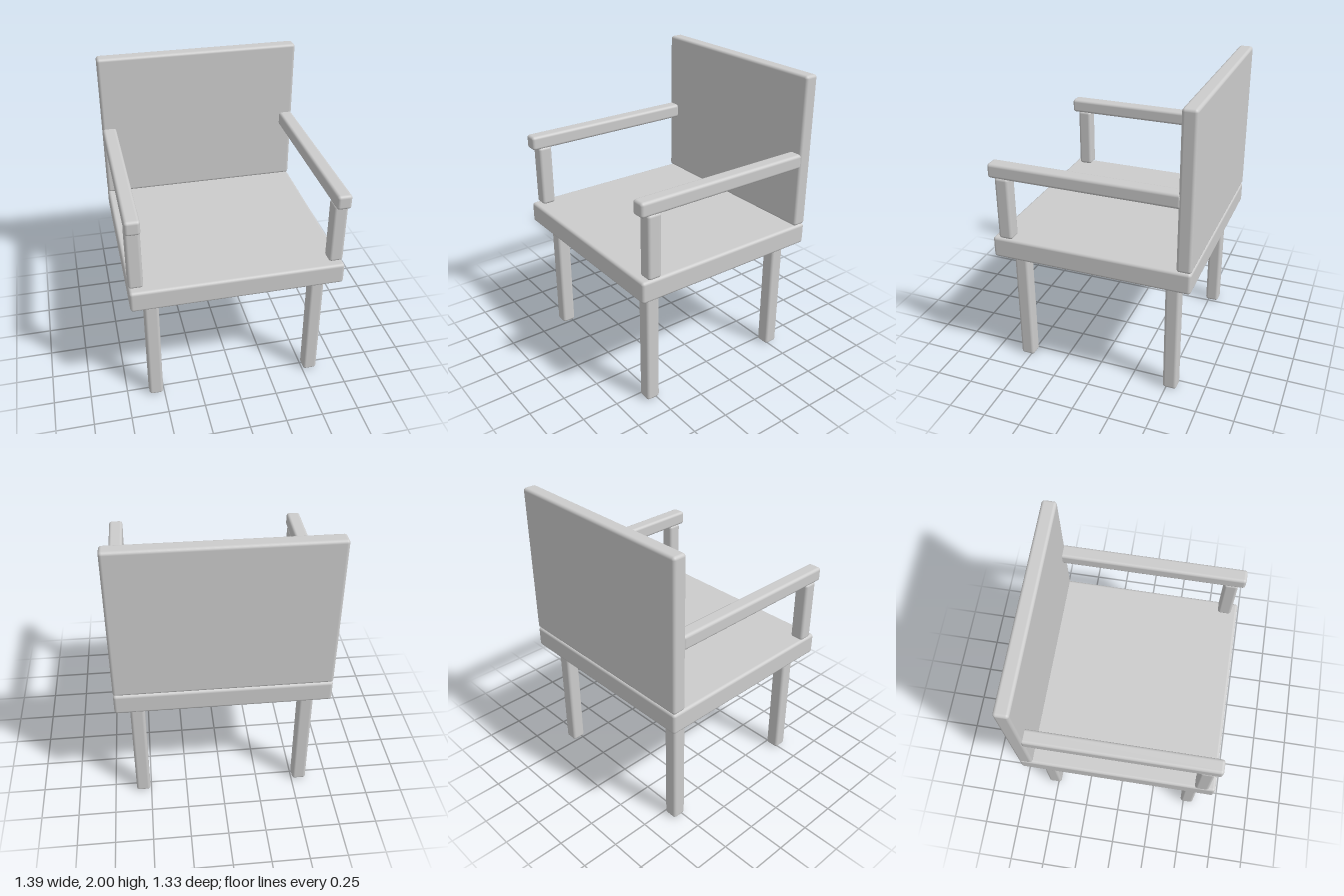
import * as THREE from 'three';
import { RoundedBoxGeometry } from 'three/addons/geometries/RoundedBoxGeometry.js';

export function createModel() {
  const chair = new THREE.Group();
  chair.name = 'armchair';
  const material = new THREE.MeshStandardMaterial({ color: 0xcccccc });

  // Softly rounded block given by its [min, max] range on each axis
  function block(name, [x0, x1], [y0, y1], [z0, z1]) {
    const geometry = new RoundedBoxGeometry(x1 - x0, y1 - y0, z1 - z0, 4, 0.02);
    const mesh = new THREE.Mesh(geometry, material);
    mesh.name = name;
    mesh.position.set((x0 + x1) / 2, (y0 + y1) / 2, (z0 + z1) / 2);
    chair.add(mesh);
  }

  // Seat slab and backrest panel
  block('seat', [-0.695, 0.695], [0.827, 0.972], [-0.665, 0.665]);
  block('backrest', [-0.695, 0.695], [0.972, 2], [-0.665, -0.57]);

  for (const [side, s] of [['left', 1], ['right', -1]]) {
    const mirror = (a, b) => (s > 0 ? [a, b] : [-b, -a]);

    // Armrest and its front post, flush with the seat side
    block(`${side}Armrest`, mirror(0.6, 0.695), [1.39, 1.487], [-0.587, 0.665]);
    block(`${side}ArmPost`, mirror(0.6, 0.695), [0.972, 1.4], [0.525, 0.62]);

    // Legs, inset from the seat edges
    block(`${side}FrontLeg`, mirror(0.507, 0.602), [0, 0.827], [0.477, 0.572]);
    block(`${side}BackLeg`, mirror(0.507, 0.602), [0, 0.827], [-0.572, -0.477]);
  }
  return chair;
}
